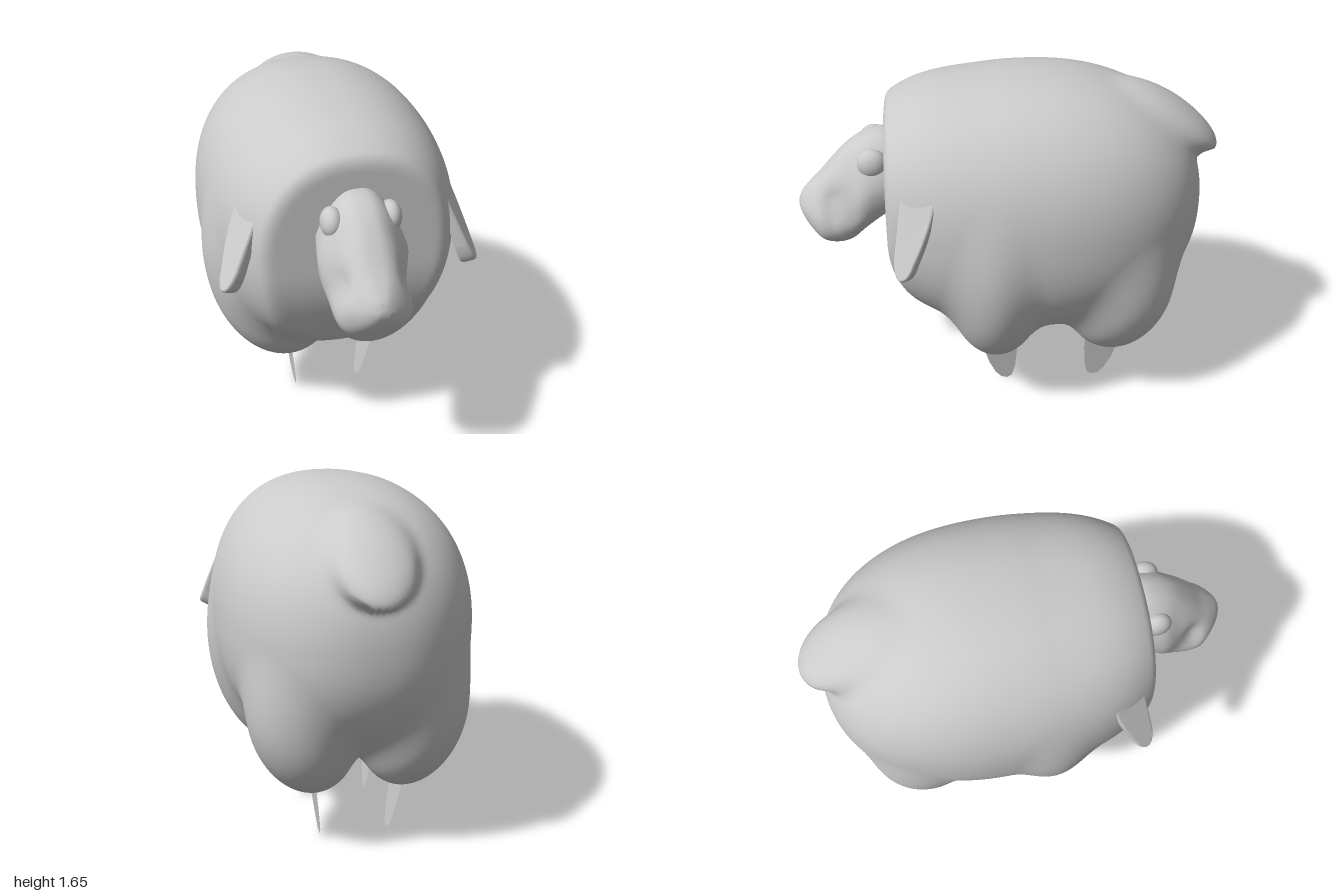
import * as THREE from 'three';
import { mergeVertices } from 'three/addons/utils/BufferGeometryUtils.js';

const grey = new THREE.MeshStandardMaterial({ color: 0xcccccc });
const thin = new THREE.MeshStandardMaterial({ color: 0xcccccc, side: THREE.DoubleSide });

function add(parent, name, geometry, material = grey) {
  const mesh = new THREE.Mesh(geometry, material);
  mesh.name = name;
  parent.add(mesh);
  return mesh;
}

// Smooth minimum and maximum, blend two implicit shapes
function smin(a, b, k) {
  const h = Math.max(k - Math.abs(a - b), 0) / k;
  return Math.min(a, b) - h * h * k * 0.25;
}
const smax = (a, b, k) => -smin(-a, -b, k);

// Implicit ellipsoid: negative inside
function blob(x, y, z, rx, ry, rz) {
  return (Math.hypot(x / rx, y / ry, z / rz) - 1) * Math.min(rx, ry, rz);
}

// Barrel: round across, fuller lengthwise
function barrel(p) {
  const lift = 0.05 * THREE.MathUtils.smoothstep(p.z, 0.1, 0.6);
  const x = Math.abs(p.x) / 0.592, y = Math.abs(p.y - 1.01 - lift) / 0.64;
  const z = Math.abs(p.z + 0.1) / (p.z > -0.1 ? 0.88 : 0.82);
  const across = Math.pow(x ** 2.25 + y ** 2.25, 1 / 2.25);
  return (Math.pow(across ** 2.25 + z ** 2.25, 1 / 2.25) - 1) * 0.6;
}

// Woolly body: barrel, leaning shoulders and thighs, tail, flat face and sloping chest
function bodyField(p) {
  const x = Math.abs(p.x), y = p.y, z = p.z;
  const shoulder = blob(x - 0.21 - 0.13 * (y - 0.26), y - 0.75, z - 0.075, 0.325, 0.495, 0.255);
  const thigh = blob(x - 0.21 - 0.12 * (y - 0.26), y - 0.63, z + 0.49 + 0.08 * (y - 0.26), 0.255, 0.37, 0.265);
  const c = Math.cos(0.62), s = Math.sin(0.62), ty = y - 1.4, tz = z + 0.765;
  const tail = blob(x, c * ty - s * tz, s * ty + c * tz, 0.18, 0.09, 0.275);
  let d = smin(barrel(p), shoulder, 0.06);
  d = smin(d, thigh, 0.07);
  d = smin(d, tail, 0.04);
  const cut = smax(z - 0.575, (z - 0.575) * 0.864 - (y - 0.78) * 0.504, 0.1);
  return smax(d, cut, 0.03);
}

// Push a fine sphere outwards until it meets the field
function bodyGeometry() {
  let g = new THREE.IcosahedronGeometry(1, 60);
  g.deleteAttribute('uv');
  g.deleteAttribute('normal');
  g = mergeVertices(g, 1e-5);
  const pos = g.attributes.position;
  const centre = new THREE.Vector3(0, 1.08, -0.12);
  const dir = new THREE.Vector3(), p = new THREE.Vector3();
  for (let i = 0; i < pos.count; i++) {
    dir.fromBufferAttribute(pos, i).normalize();
    let lo = 0.2, hi = 1.3;
    for (let n = 0; n < 24; n++) {
      const mid = (lo + hi) / 2;
      p.copy(centre).addScaledVector(dir, mid);
      if (bodyField(p) < 0) lo = mid; else hi = mid;
    }
    p.copy(centre).addScaledVector(dir, lo);
    pos.setXYZ(i, p.x, p.y, p.z);
  }
  g.computeVertexNormals();
  return g;
}

// Head: cross-sections from neck to nose, each [z, top, bottom, half width]
function headGeometry() {
  const keys = [
    [0.5, 1.37, 1.02, 0.17], [0.6, 1.38, 0.96, 0.19], [0.68, 1.355, 0.9, 0.2],
    [0.75, 1.31, 0.835, 0.185], [0.82, 1.24, 0.817, 0.18], [0.89, 1.16, 0.835, 0.165],
    [0.95, 1.1, 0.895, 0.11], [0.985, 1.06, 0.95, 0.06], [1.0, 1.025, 0.99, 0.025],
  ];
  const spine = new THREE.CatmullRomCurve3(keys.map(k => new THREE.Vector3(k[0], k[1], k[2])));
  const width = new THREE.CatmullRomCurve3(keys.map(k => new THREE.Vector3(k[0], k[3], 0)));
  const rows = 48, cols = 48, verts = [], index = [];
  const power = v => Math.sign(v) * Math.pow(Math.abs(v), 0.7);
  const tip = (rows + 1) * cols;
  for (let i = 0; i <= rows; i++) {
    const s = spine.getPoint(i / rows), w = width.getPoint(i / rows).y;
    for (let j = 0; j < cols; j++) {
      const a = (j / cols) * Math.PI * 2;
      const up = power(Math.sin(a));
      const y = (s.y + s.z) / 2 + up * (s.y - s.z) / 2;
      // Narrow the brow and hollow the cheeks behind the muzzle
      const taper = 1 - 0.42 * Math.max(up, 0);
      const hollow = 1 - 0.24 * Math.exp(-(((s.x - 0.83) / 0.07) ** 2) - ((y - 1.06) / 0.08) ** 2);
      verts.push(power(Math.cos(a)) * w * taper * hollow, y, s.x);
      const b = i * cols + j, c = i * cols + (j + 1) % cols;
      if (i < rows) index.push(b, c, b + cols, c, c + cols, b + cols);
      else index.push(b, c, tip);
    }
  }
  verts.push(0, 1.008, 1.002);
  const g = new THREE.BufferGeometry();
  g.setAttribute('position', new THREE.Float32BufferAttribute(verts, 3));
  g.setIndex(index);
  g.computeVertexNormals();
  return g;
}

// Ear: flap drawn in the side plane, thickened towards the rounded tip
function earGeometry() {
  const s = new THREE.Shape();
  s.moveTo(-0.08, 0.02);
  s.quadraticCurveTo(-0.075, -0.1, -0.03, -0.25);
  s.quadraticCurveTo(-0.015, -0.325, 0.015, -0.325);
  s.quadraticCurveTo(0.045, -0.32, 0.055, -0.23);
  s.lineTo(0.065, 0.04);
  const g = new THREE.ExtrudeGeometry(s, {
    depth: 0.02, bevelThickness: 0.015, bevelSize: 0.012, bevelSegments: 4, curveSegments: 10,
  });
  g.translate(0, 0, -0.01);
  const pos = g.attributes.position;
  for (let i = 0; i < pos.count; i++) {
    pos.setZ(i, pos.getZ(i) * (0.7 + Math.max(0, -pos.getY(i)) * 2.6));
  }
  g.rotateY(-Math.PI / 2);
  g.computeVertexNormals();
  return g;
}

// Leg: thin blade leaning inwards towards its tip
function legGeometry(toZ) {
  const outline = [[0.17, 0.4], [0.142, 0.24], [0.108, 0.12], [0.075, 0.045], [0.045, 0.008], [0.015, 0],
    [-0.008, 0.015], [-0.025, 0.08], [-0.033, 0.2], [-0.033, 0.4]];
  const s = new THREE.Shape(outline.map(([z, y]) => new THREE.Vector2(toZ(z), y)));
  const g = new THREE.ShapeGeometry(s);
  const pos = g.attributes.position;
  for (let i = 0; i < pos.count; i++) {
    const z = pos.getX(i), y = pos.getY(i);
    pos.setXYZ(i, 0.163 + 0.14 * y, y, z);
  }
  g.computeVertexNormals();
  return g;
}

export function createModel() {
  const model = new THREE.Group();
  model.name = 'sheep';
  add(model, 'bodyAndTail', bodyGeometry());
  add(model, 'head', headGeometry());

  // Paired parts, mirrored across x
  for (const [side, sx] of [['left', 1], ['right', -1]]) {
    const half = new THREE.Group();
    half.name = side + 'Side';
    half.scale.x = sx;
    model.add(half);

    const eye = add(half, side + 'Eye', new THREE.SphereGeometry(1, 24, 18));
    eye.scale.set(0.05, 0.07, 0.07);
    eye.position.set(0.13, 1.265, 0.635);

    const ear = add(half, side + 'Ear', earGeometry());
    ear.position.set(0.46, 1.215, 0.435);
    ear.rotation.set(0, -0.45, 0.38);

    add(half, side + 'FrontLeg', legGeometry(z => z), thin);
    add(half, side + 'BackLeg', legGeometry(z => -0.41 - z), thin);
  }
  return model;
}
